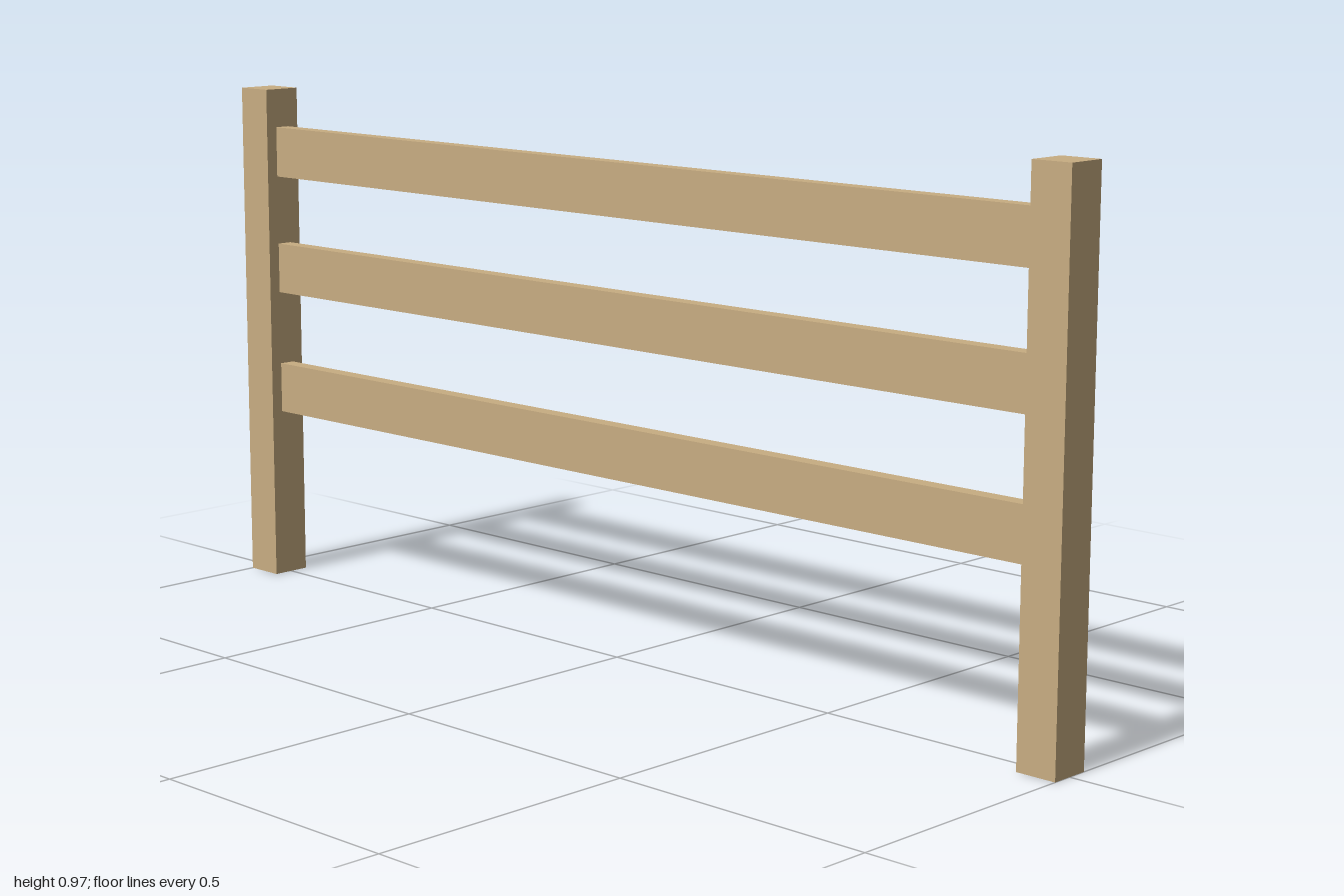
import * as THREE from 'three';

export function createModel() {
  const group = new THREE.Group();
  const wood = new THREE.MeshStandardMaterial({ color: 0xc8ad82 });
  wood.name = 'wood';

  const postWidth = 0.076, postHeight = 0.972;
  const railHeight = 0.097, railDepth = 0.03;

  function addBox(name, width, height, depth, x, y) {
    const mesh = new THREE.Mesh(new THREE.BoxGeometry(width, height, depth), wood);
    mesh.name = name;
    mesh.position.set(x, y, 0);
    group.add(mesh);
  }

  // Square end posts
  for (const [name, side] of [['leftPost', 1], ['rightPost', -1]]) {
    addBox(name, postWidth, postHeight, postWidth, side * (1 - postWidth / 2), postHeight / 2);
  }

  // Horizontal rails spanning between the posts
  const rails = [['lowerRail', 0.379], ['middleRail', 0.619], ['upperRail', 0.849]];
  for (const [name, y] of rails) {
    addBox(name, 2 - 2 * postWidth, railHeight, railDepth, 0, y);
  }

  return group;
}
